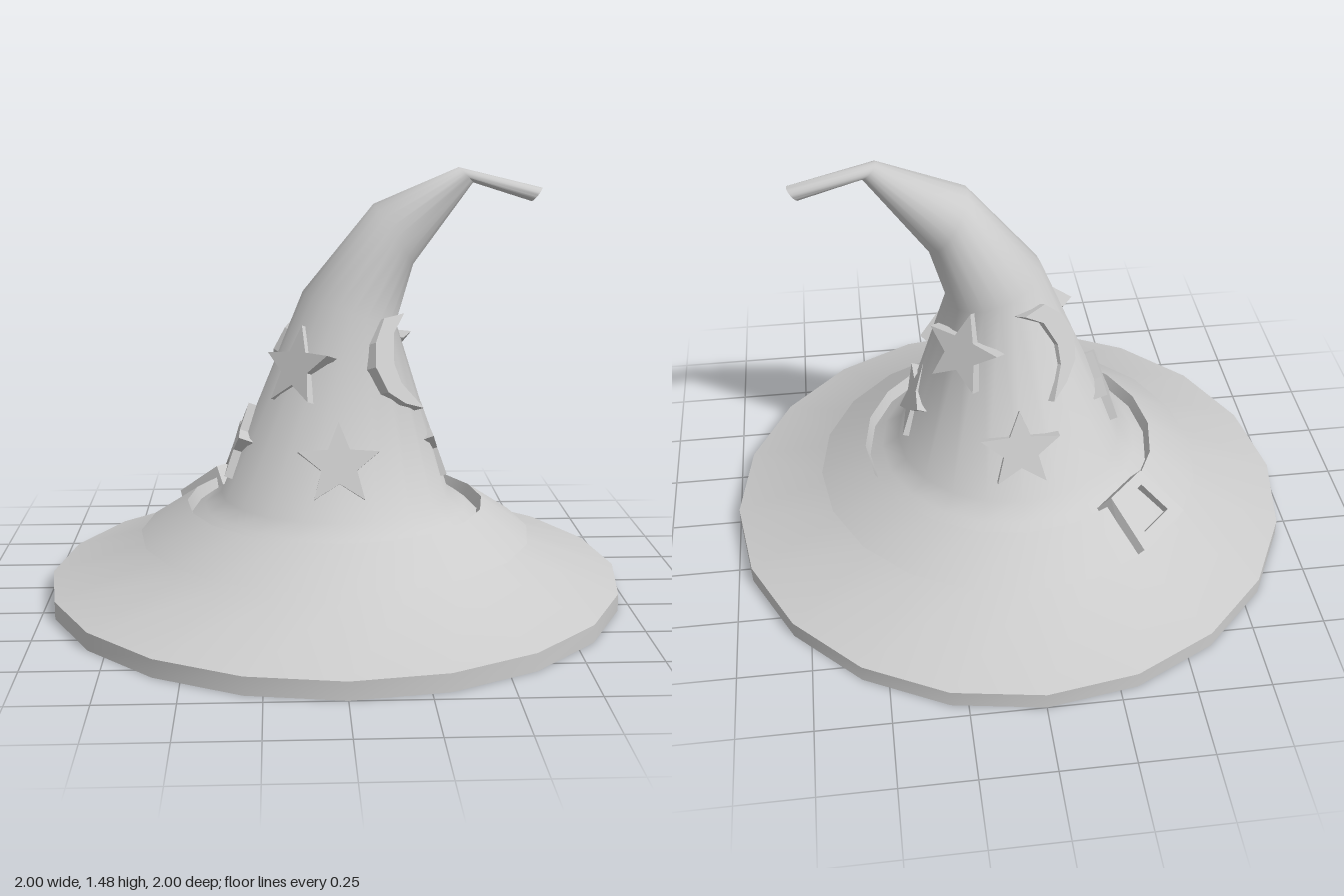
import * as THREE from 'three';
import { toCreasedNormals } from 'three/addons/utils/BufferGeometryUtils.js';

const SIDES = 20;
const material = new THREE.MeshStandardMaterial({ color: 0xcccccc, side: THREE.DoubleSide });

function addMesh(parent, name, geometry) {
  const mesh = new THREE.Mesh(geometry, material);
  mesh.name = name;
  parent.add(mesh);
  return mesh;
}

// Skins a row of round sections [centreX, centreY, radius, tilt], bottom to top
function loft(rings, crease) {
  const pos = [], index = [], row = SIDES + 1;
  rings.forEach(([cx, cy, r, tilt = 0], i) => {
    for (let j = 0; j <= SIDES; j++) {
      const a = ((j % SIDES) / SIDES) * Math.PI * 2, d = r * Math.sin(a);
      pos.push(cx + d * Math.cos(tilt), cy - d * Math.sin(tilt), r * Math.cos(a));
      if (i === 0 || j === SIDES) continue;
      const p = (i - 1) * row + j, q = p + row;
      if (rings[i - 1][2] > 0) index.push(p, p + 1, q + 1);
      if (r > 0) index.push(p, q + 1, q);
    }
  });
  const g = new THREE.BufferGeometry();
  g.setAttribute('position', new THREE.Float32BufferAttribute(pos, 3));
  g.setIndex(index);
  return toCreasedNormals(g, crease);
}

// Flat plate whose outer face lies on z = 0
function plate(points, depth, hole) {
  const toVectors = (list) => list.map(([x, y]) => new THREE.Vector2(x, y));
  const shape = new THREE.Shape(toVectors(points));
  if (hole) shape.holes.push(new THREE.Path(toVectors(hole)));
  const g = new THREE.ExtrudeGeometry(shape, { depth, bevelEnabled: false });
  return g.translate(0, 0, -depth);
}

// Turns a plate to face outward at an angle round the hat, leaning up by tilt
function place(mesh, angle, radius, y, tilt, cx = 0, roll = 0) {
  mesh.position.set(cx + radius * Math.sin(angle), y, radius * Math.cos(angle));
  mesh.rotation.set(-tilt, angle, roll, 'YXZ');
}

export function createModel() {
  const hat = new THREE.Group();
  hat.name = 'pointedHat';

  // Brim flowing into the bent crown and its crooked tip
  addMesh(hat, 'brimAndCrown', loft([
    [0, 0, 0], [0, 0, 1], [0, 0.06, 1], [0, 0.17, 0.65], [0, 0.31, 0.46], [0, 0.35, 0.4],
    [0.05, 1.005, 0.17, 0.33], [0.2, 1.255, 0.124, 0.98], [0.445, 1.455, 0.036, 0.8],
    [0.69, 1.388, 0.029, 2.23], [0.69, 1.388, 0],
  ], 0.8));

  // Flared band round the crown
  addMesh(hat, 'band', loft([
    [0, 0.21, 0.48], [0, 0.21, 0.685], [0, 0.32, 0.52], [0, 0.21, 0.48],
  ], 0.6));

  // Stars: four low ones, two higher ones
  const star = plate(Array.from({ length: 10 }, (_, i) => {
    const r = i % 2 ? 0.062 : 0.142, a = Math.PI / 2 + (i * Math.PI) / 5;
    return [r * Math.cos(a), r * Math.sin(a)];
  }), 0.05);
  const slope = 0.34;
  for (let i = 0; i < 4; i++) {
    place(addMesh(hat, 'lowStar' + (i + 1), star), (i * Math.PI) / 2, 0.348, 0.535, slope);
  }
  place(addMesh(hat, 'highStarFront', star), -Math.PI / 4, 0.25, 0.83, slope, 0.035, 0.08);
  place(addMesh(hat, 'highStarBack', star), 2.45, 0.25, 0.85, slope, 0.025, -0.08);

  // Crescent moons, the rear one mirrored
  const crescent = [
    [0.105, 0.16], [0, 0.155], [-0.07, 0.08], [-0.1, 0], [-0.07, -0.09],
    [0, -0.14], [0.085, -0.17], [0.005, -0.07], [-0.007, 0], [0.03, 0.1],
  ];
  const mirrored = crescent.map(([x, y]) => [-x, y]);
  place(addMesh(hat, 'moonFront', plate(crescent, 0.05)), Math.PI / 4, 0.25, 0.84, slope, 0.02);
  place(addMesh(hat, 'moonBack', plate(mirrored, 0.05)), -Math.PI * 0.75, 0.25, 0.84, slope, 0.035);

  // Buckle frame lying on the band, flaring towards its back
  const frame = plate(
    [[-0.125, -0.103], [0.125, -0.103], [0.09, 0.103], [-0.09, 0.103]], 0.1,
    [[-0.072, -0.06], [0.072, -0.06], [0.052, 0.065], [-0.052, 0.065]]);
  const p = frame.attributes.position;
  for (let i = 0; i < p.count; i++) p.setX(i, p.getX(i) * (1 - p.getZ(i) * 1.5));
  frame.computeVertexNormals();
  place(addMesh(hat, 'buckle', frame), -Math.PI * 0.75, 0.6, 0.3, 0.95);

  return hat;
}
